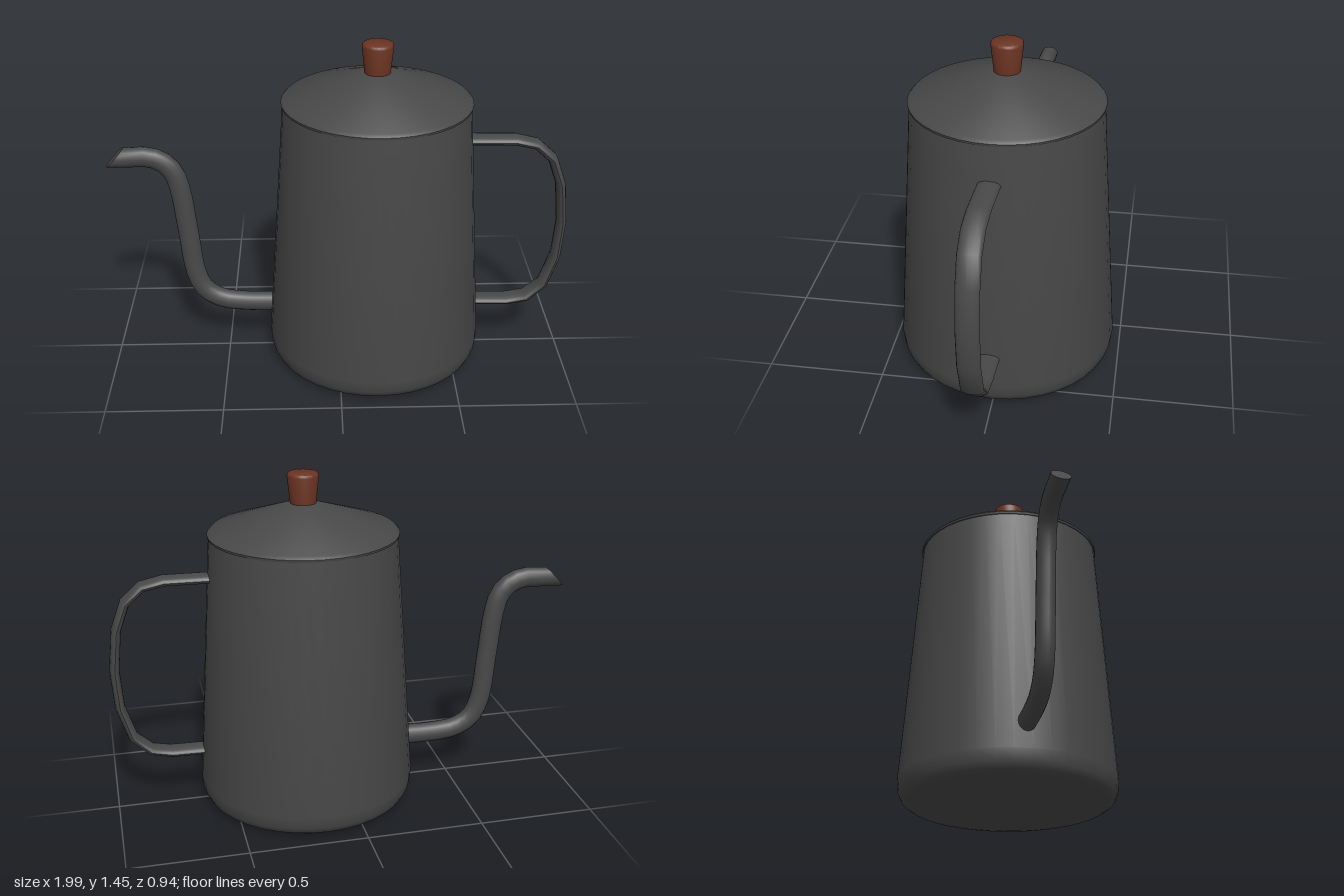
import * as THREE from 'three';
import { toCreasedNormals } from 'three/addons/utils/BufferGeometryUtils.js';

const AXIS_X = 0.16; // centre line of the pot
const steel = new THREE.MeshStandardMaterial({ name: 'dark steel', color: 0x484848 });
const wood = new THREE.MeshStandardMaterial({ name: 'brown wood', color: 0x6b3422 });

// Turned part around the pot's centre line
function turned(name, profile, material, crease = 0.5) {
  const points = profile.map(([r, y]) => new THREE.Vector2(r, y));
  const mesh = new THREE.Mesh(toCreasedNormals(new THREE.LatheGeometry(points, 40), crease), material);
  mesh.name = name;
  mesh.position.x = AXIS_X;
  return mesh;
}

// Oval bar swept along a path in the slightly turned spout-handle plane.
// inPlane and depth are half sizes; tip gives a slanted last ring.
function swept(name, path, inPlane, depth, sides, tip) {
  const positions = [], index = [];
  const last = path.length - 1;
  path.forEach(([x, y], i) => {
    const [x0, y0] = path[Math.max(i - 1, 0)];
    const [x1, y1] = path[Math.min(i + 1, last)];
    const length = Math.hypot(x1 - x0, y1 - y0);
    let nx = -(y1 - y0) / length * inPlane, ny = (x1 - x0) / length * inPlane;
    if (tip && i === last) [nx, ny] = tip;
    for (let j = 0; j < sides; j++) {
      const a = j / sides * Math.PI * 2;
      positions.push(x + nx * Math.cos(a), y + ny * Math.cos(a), 0.037 * x - 0.01 + depth * Math.sin(a));
    }
  });
  for (let i = 0; i < last; i++) {
    for (let j = 0; j < sides; j++) {
      const a = i * sides + j, b = i * sides + (j + 1) % sides;
      index.push(a, b, a + sides, b, b + sides, a + sides);
    }
  }
  // end caps
  for (let j = 1; j < sides - 1; j++) {
    index.push(0, j + 1, j);
    index.push(last * sides, last * sides + j, last * sides + j + 1);
  }
  const geometry = new THREE.BufferGeometry();
  geometry.setAttribute('position', new THREE.Float32BufferAttribute(positions, 3));
  geometry.setIndex(index);
  const mesh = new THREE.Mesh(toCreasedNormals(geometry, 0.7), steel);
  mesh.name = name;
  return mesh;
}

export function createModel() {
  const pot = new THREE.Group();
  pot.name = 'kettle';

  // Tapered body with a rounded foot
  pot.add(turned('body', [
    [0, 0], [0.39, 0], [0.425, 0.006], [0.45, 0.022], [0.464, 0.05], [0.47, 0.1], [0.395, 1.2],
  ], steel, 0.8));

  // Conical lid with a thin rim
  pot.add(turned('lid', [
    [0, 1.19], [0.4, 1.19], [0.402, 1.2], [0.39, 1.212], [0.06, 1.322], [0, 1.322],
  ], steel, 0.6));

  // Flared knob
  pot.add(turned('knob', [
    [0, 1.31], [0.053, 1.31], [0.066, 1.435], [0.064, 1.444], [0.057, 1.449], [0, 1.449],
  ], wood, 0.9));

  // Gooseneck spout with a slanted tip
  const spoutCurve = new THREE.CatmullRomCurve3([
    [-0.2, 0.217], [-0.43, 0.217], [-0.53, 0.232], [-0.6, 0.277], [-0.638, 0.36], [-0.664, 0.58],
    [-0.689, 0.79], [-0.716, 0.87], [-0.77, 0.918], [-0.85, 0.935], [-0.96, 0.929],
  ].map(([x, y]) => new THREE.Vector3(x, y, 0)));
  const spoutPath = spoutCurve.getSpacedPoints(30).map((p) => [p.x, p.y]);
  // leave room for the slanted cut
  spoutPath.splice(-3, 2);
  pot.add(swept('spout', spoutPath, 0.045, 0.038, 16, [-0.04, -0.044]));

  // Flat oval handle
  pot.add(swept('handle', [
    [0.5, 1.023], [0.75, 1.023], [0.84, 1.003], [0.912, 0.938], [0.955, 0.82], [0.974, 0.64],
    [0.963, 0.47], [0.917, 0.325], [0.843, 0.256], [0.755, 0.238], [0.5, 0.238],
  ], 0.021, 0.047, 16));

  return pot;
}
